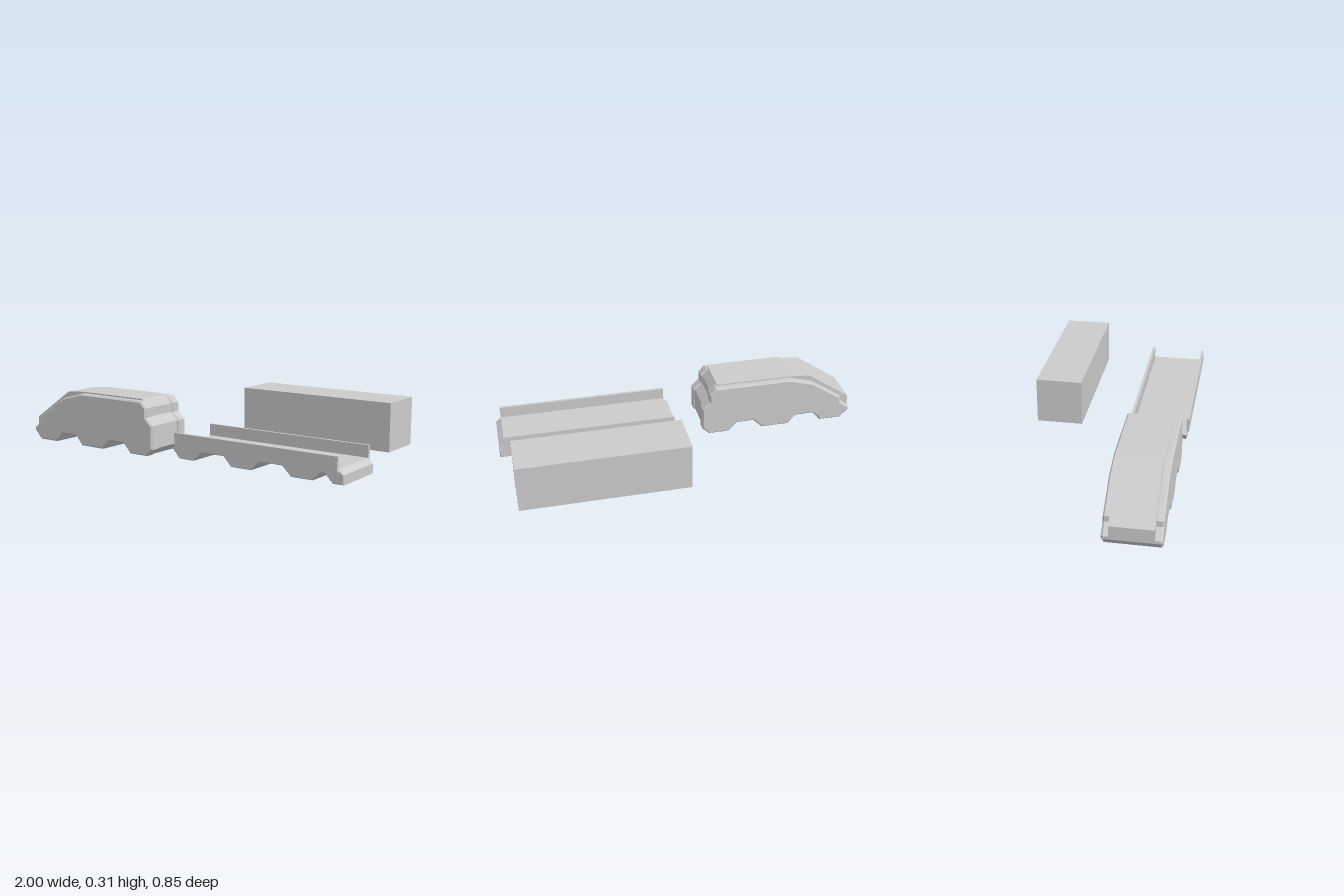
import * as THREE from 'three';

const material = new THREE.MeshStandardMaterial({ color: 0xcccccc, flatShading: true });

function add(group, name, geometry) {
  const mesh = new THREE.Mesh(geometry, material);
  mesh.name = name;
  group.add(mesh);
}

// Extrudes a side profile (x, y) from z0 to z1, with an inward chamfer.
function slab(points, z0, z1, bevel = 0) {
  const shape = new THREE.Shape(points.map(([x, y]) => new THREE.Vector2(x, y)));
  const geometry = new THREE.ExtrudeGeometry(shape, {
    depth: z1 - z0 - 2 * bevel,
    bevelEnabled: bevel > 0,
    bevelSize: bevel,
    bevelThickness: bevel,
    bevelOffset: -bevel,
    bevelSegments: 1,
  });
  return geometry.translate(0, 0, z0 + bevel);
}

function box(x0, x1, y0, y1, z0, z1) {
  return new THREE.BoxGeometry(x1 - x0, y1 - y0, z1 - z0)
    .translate((x0 + x1) / 2, (y0 + y1) / 2, (z0 + z1) / 2);
}

function createLocomotive() {
  const group = new THREE.Group();
  group.name = 'locomotive';

  // Underside with three bogie skirts, from nose to tail
  const underside = [
    [-1, 0.05], [-0.955, 0.002], [-0.83, 0.002], [-0.785, 0.053], [-0.68, 0.053],
    [-0.635, 0.002], [-0.48, 0.002], [-0.43, 0.053], [-0.33, 0.053], [-0.285, 0.002],
  ];

  // Side walls, set back beside the nose
  const side = [
    ...underside, [-0.17, 0.002], [-0.13, 0.04], [-0.13, 0.165], [-0.172, 0.205],
    [-0.172, 0.255], [-0.205, 0.29], [-0.635, 0.29], [-0.77, 0.253],
    [-0.945, 0.138], [-0.945, 0.108], [-1, 0.065],
  ];
  add(group, 'leftWall', slab(side, 0.345, 0.405, 0.008));
  add(group, 'rightWall', slab(side, 0.12, 0.18, 0.008));

  // Raised centre band running over nose and roof, recessed at the tail
  const centre = [
    ...underside, [-0.18, 0.002], [-0.14, 0.04], [-0.14, 0.163], [-0.182, 0.205],
    [-0.182, 0.252], [-0.22, 0.297], [-0.64, 0.297], [-0.757, 0.288], [-1, 0.122],
  ];
  add(group, 'centreBody', slab(centre, 0.155, 0.37));
  return group;
}

function createFlatWagon() {
  const group = new THREE.Group();
  group.name = 'flatWagon';

  // Deck with four bogie skirts and slanted ends
  const deck = [[0.012, 0.07], [0.055, 0.022]];
  const skirts = [[0.147, 0.33, 0.377], [0.495, 0.67, 0.72], [0.837, 0.895, 0.944]];
  for (const [end, gapEnd, next] of skirts) {
    deck.push([end, 0.022], [end + 0.05, 0.07], [gapEnd, 0.07], [next, 0.022]);
  }
  deck.push([1, 0.022], [1, 0.07], [0.97, 0.094], [0.04, 0.094]);
  add(group, 'deck', slab(deck, 0.118, 0.413, 0.004));

  // Low walls along both sides
  add(group, 'leftRail', box(0.035, 0.972, 0.08, 0.155, 0.41, 0.425));
  add(group, 'rightRail', box(0.035, 0.972, 0.08, 0.155, 0.105, 0.12));
  return group;
}

export function createModel() {
  const model = new THREE.Group();
  model.name = 'freightTrainSet';
  model.add(createLocomotive(), createFlatWagon());
  add(model, 'container', box(0.057, 0.94, 0.063, 0.315, -0.425, -0.173));
  return model;
}
